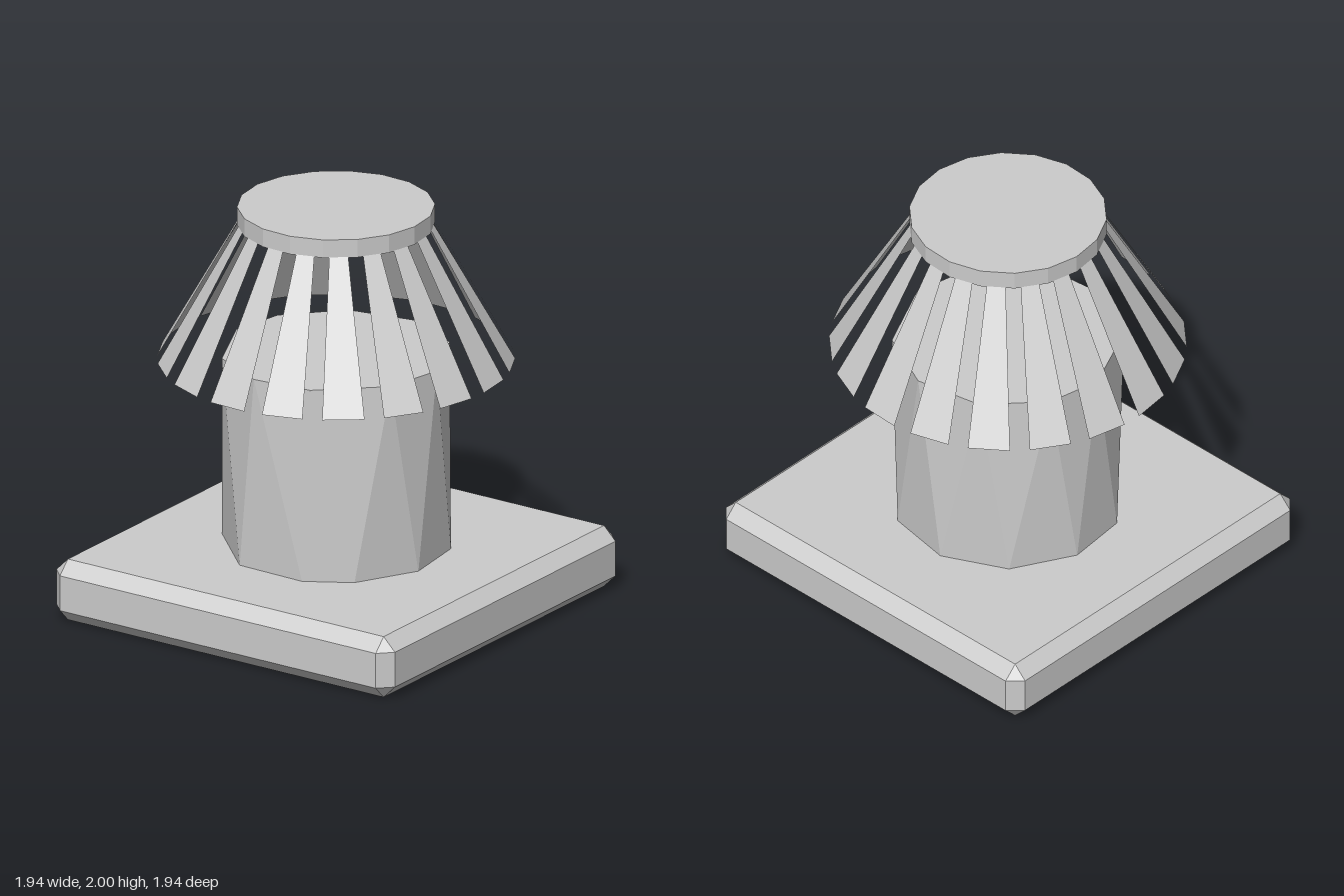
import * as THREE from 'three';
import { ConvexGeometry } from 'three/addons/geometries/ConvexGeometry.js';

const material = new THREE.MeshStandardMaterial({ color: 0xcccccc, flatShading: true });
const thinMaterial = new THREE.MeshStandardMaterial({ color: 0xcccccc, flatShading: true, side: THREE.DoubleSide });
const rad = THREE.MathUtils.degToRad;

function polar(r, y, degrees) {
  return new THREE.Vector3(r * Math.cos(rad(degrees)), y, r * Math.sin(rad(degrees)));
}

function addMesh(parent, name, geometry, mat = material) {
  const mesh = new THREE.Mesh(geometry, mat);
  mesh.name = name;
  parent.add(mesh);
  return mesh;
}

// Square slab with every edge chamfered and every corner cut to a triangle
function chamferedBox(half, height, c) {
  const points = [];
  for (const sx of [-1, 1]) for (const sy of [-1, 1]) for (const sz of [-1, 1]) {
    const h = height / 2;
    points.push(
      new THREE.Vector3(sx * half, sy * (h - c), sz * (half - c)),
      new THREE.Vector3(sx * (half - c), sy * h, sz * (half - c)),
      new THREE.Vector3(sx * (half - c), sy * (h - c), sz * half));
  }
  return new ConvexGeometry(points).translate(0, height / 2, 0);
}

// Faceted drum whose top corners are turned against its bottom corners
function twistedDrum(r, y0, y1) {
  const bottom = [10, 46, 72, 111, 157, 190, 226, 262, 298, 334];
  const top = [27, 68, 100, 134, 176, 205, 241, 277, 313, 355];
  return new ConvexGeometry([
    ...bottom.map(a => polar(r, y0, a)),
    ...top.map(a => polar(r, y1, a))]);
}

// Thin slat widening from the cap rim down to the open lower edge
function slatGeometry() {
  const g = new THREE.PlaneGeometry(1, 1);
  const p = g.attributes.position;
  for (let i = 0; i < p.count; i++) {
    const upper = p.getY(i) > 0;
    const side = p.getX(i) * (upper ? 0.09 : 0.2);
    p.setXYZ(i, side - (upper ? 0.006 : 0), upper ? 1.912 : 1.235, upper ? 0.46 : 0.838);
  }
  g.computeVertexNormals();
  return g;
}

export function createModel() {
  const model = new THREE.Group();
  model.name = 'ventCowl';

  addMesh(model, 'base', chamferedBox(0.972, 0.305, 0.065));
  addMesh(model, 'drum', twistedDrum(0.548, 0.3, 1.27));

  // Cap disc, with one slat hanging from each of its sides
  const sides = 18;
  const cap = addMesh(model, 'cap',
    new THREE.CylinderGeometry(0.467, 0.467, 0.09, sides, 1, false, rad(7.4)));
  cap.position.y = 1.955;

  const slats = new THREE.Group();
  slats.name = 'slats';
  model.add(slats);
  const slat = slatGeometry();
  for (let i = 0; i < sides; i++) {
    addMesh(slats, 'slat', slat, thinMaterial).rotation.y = rad(-2.7 + i * 360 / sides);
  }
  return model;
}
